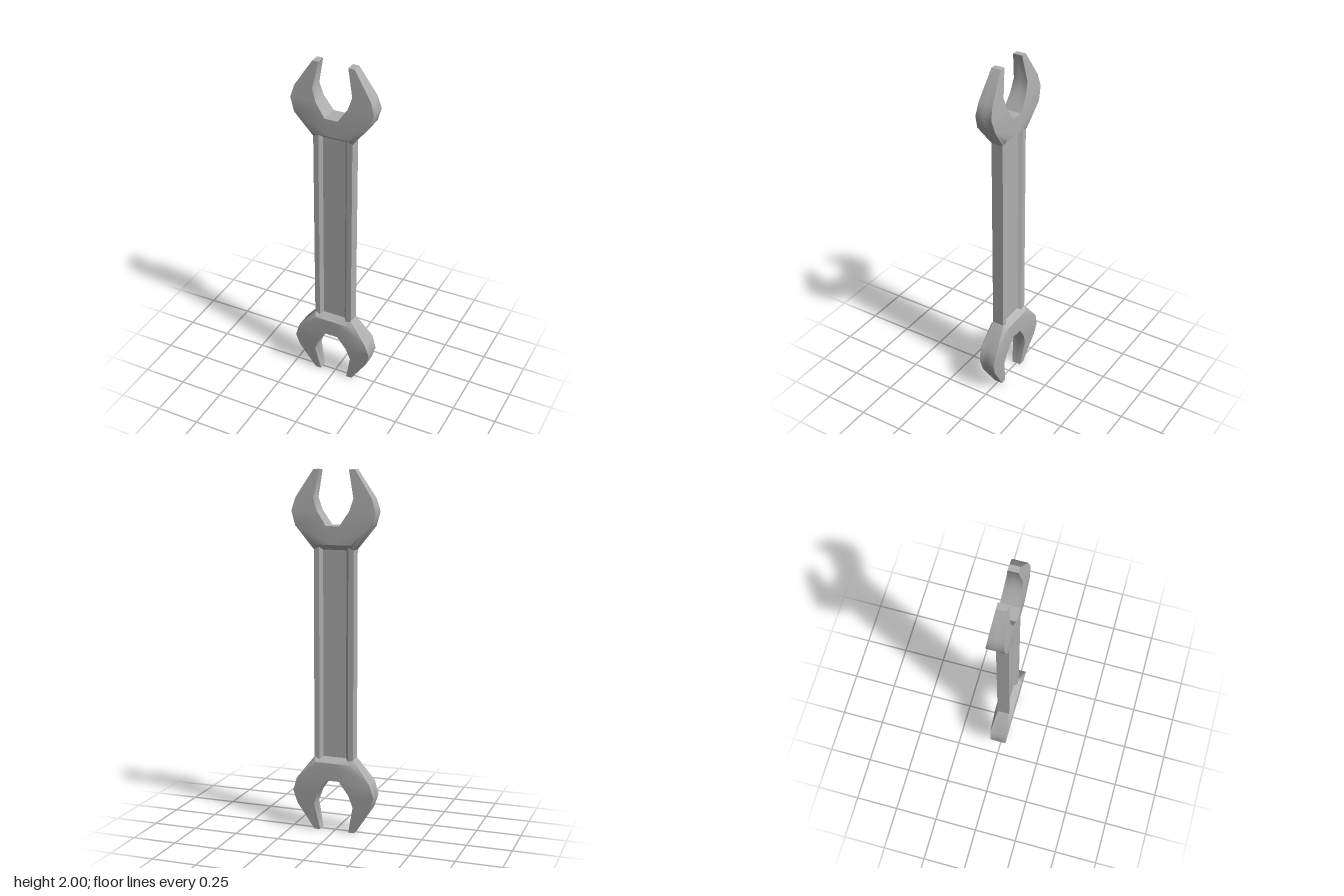
import * as THREE from 'three';
import { toCreasedNormals } from 'three/addons/utils/BufferGeometryUtils.js';

const steel = new THREE.MeshStandardMaterial({ color: 0xb0b0b0 });
steel.name = 'steel grey';

// Mirror a list of convex faces (drawn for +x, upper, +z) across the given axes.
function mirrored(faces, xs, ys, zs) {
  const pos = [];
  for (const sx of xs) for (const sy of ys) for (const sz of zs) {
    const flip = sx * sy * sz < 0;
    for (const face of faces) {
      const f = face.map(([x, y, z]) => [sx * x, 1 + sy * (y - 1), sz * z]);
      if (flip) f.reverse();
      for (let i = 1; i < f.length - 1; i++) {
        // keep the fan anchored on the same corner after a flip
        const n = f.length, o = flip ? n - 1 : 0;
        pos.push(...f[o], ...f[(o + i) % n], ...f[(o + i + 1) % n]);
      }
    }
  }
  const geometry = new THREE.BufferGeometry();
  geometry.setAttribute('position', new THREE.Float32BufferAttribute(pos, 3));
  return toCreasedNormals(geometry, THREE.MathUtils.degToRad(40));
}

// Wall from the front edge a-b back to the middle plane.
const wall = (a, b) => [a, b, [b[0], b[1], 0], [a[0], a[1], 0]];

// Shared corners where head and shaft meet
const shoulder = [0.1, 1.603, 0.053];
const railIn = [0.083, 1.589, 0.034];
const railOut = [0.113, 1.576, 0.034];
const webEdge = [0.066, 1.574, 0.016];
const atX0 = ([, y, z]) => [0, y, z];
const atMid = ([x, , z]) => [x, 1, z];

function headFaces() {
  // y, half thickness, inner x, outer x of the tapering jaw
  const rows = [
    [2.0, 0.027, 0.083, 0.117],
    [1.85, 0.041, 0.113, 0.215],
    [1.78, 0.047, 0.09, 0.236],
    [1.703, 0.053, 0.037, 0.212],
  ];
  const inner = rows.map(([y, z, xi]) => [xi, y, z]);
  const outer = rows.map(([y, z, , xo]) => [xo, y, z]);
  const faces = [];
  for (let i = 0; i < 3; i++) {
    faces.push([inner[i], inner[i + 1], outer[i + 1], outer[i]]);
    faces.push(wall(outer[i], outer[i + 1]), wall(inner[i + 1], inner[i]));
  }
  faces.push(wall(inner[0], outer[0]).reverse().map((p) => p).reverse()); // jaw tip
  faces.push(wall(atX0(inner[3]), inner[3])); // throat floor
  faces.push([atX0(shoulder), shoulder, outer[3], inner[3], atX0(inner[3])]);
  // Neck: slopes down to the web and to the rails
  faces.push([atX0(shoulder), atX0(webEdge), webEdge, railIn, shoulder]);
  faces.push([outer[3], shoulder, railOut], [shoulder, railIn, railOut]);
  faces.push(wall(outer[3], railOut));
  return faces;
}

function shaftFaces() {
  return [
    [atX0(webEdge), atX0(atMid(webEdge)), atMid(webEdge), webEdge], // recessed web
    [webEdge, atMid(webEdge), atMid(railIn), railIn], // bevel
    [railIn, atMid(railIn), atMid(railOut), railOut], // rail
    wall(railOut, atMid(railOut)), // outer side
  ];
}

export function createModel() {
  const group = new THREE.Group();
  group.name = 'wrench';
  const add = (name, faces, ys) => {
    const mesh = new THREE.Mesh(mirrored(faces, [1, -1], ys, [1, -1]), steel);
    mesh.name = name;
    group.add(mesh);
  };
  add('upperHead', headFaces(), [1]);
  add('lowerHead', headFaces(), [-1]);
  add('shaft', shaftFaces(), [1, -1]);
  return group;
}
